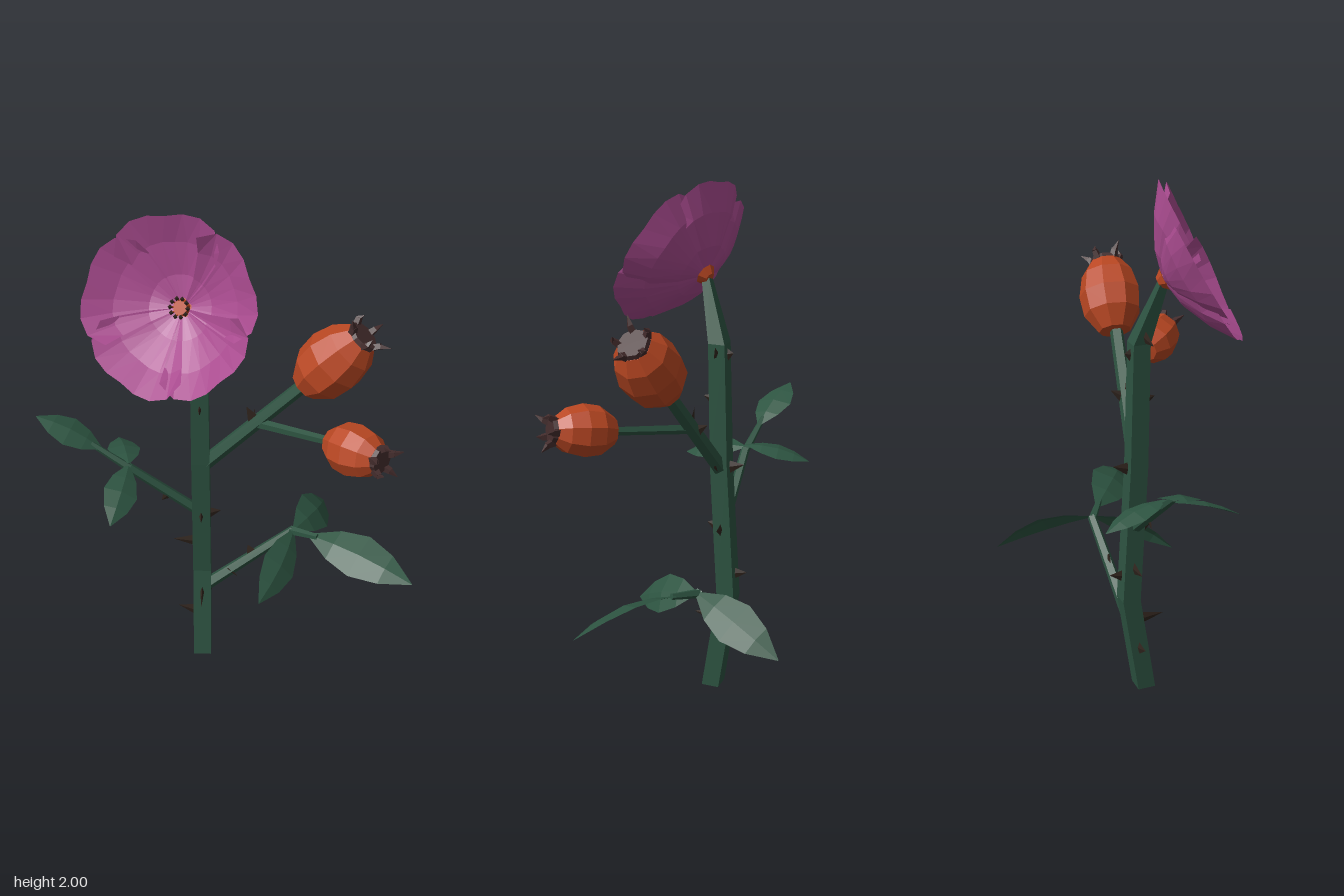
import * as THREE from 'three';

const mat = (name, color, side = THREE.FrontSide) =>
  Object.assign(new THREE.MeshStandardMaterial({ color, flatShading: true, side }), { name });
const V = (p) => new THREE.Vector3(...p);
const UP = new THREE.Vector3(0, 1, 0);

export function createModel() {
  const model = new THREE.Group();
  model.name = 'floweringBranch';
  const green = mat('stemGreen', 0x2d5341);
  const leafGreen = mat('leafGreen', 0x2d5441, THREE.DoubleSide);
  const pink = mat('petalPink', 0xa94b8f, THREE.DoubleSide);
  const orange = mat('hipOrange', 0xb94722);
  const brown = mat('sepalBrown', 0x432c2c);
  const dark = mat('thornBrown', 0x30241d);

  const add = (parent, name, geometry, material) => {
    const mesh = new THREE.Mesh(geometry, material);
    mesh.name = name;
    parent.add(mesh);
    return mesh;
  };

  // Tapered rod between two points; a tiny end radius makes a spike
  const rod = (parent, name, a, b, r0, r1, sides, material) => {
    const from = V(a), dir = V(b).sub(from);
    const g = new THREE.CylinderGeometry(r1, r0, dir.length(), sides);
    const mesh = add(parent, name, g, material);
    mesh.position.copy(from).addScaledVector(dir, 0.5);
    mesh.quaternion.setFromUnitVectors(UP, dir.normalize());
    return mesh;
  };

  // Grid surface from a point rule p(i, j)
  const grid = (rows, cols, p) => {
    const pos = [], index = [];
    for (let i = 0; i <= rows; i++) for (let j = 0; j <= cols; j++) pos.push(...p(i, j));
    for (let i = 0; i < rows; i++) for (let j = 0; j < cols; j++) {
      const a = i * (cols + 1) + j, b = a + cols + 1;
      index.push(a, a + 1, b, a + 1, b + 1, b);
    }
    const g = new THREE.BufferGeometry();
    g.setAttribute('position', new THREE.Float32BufferAttribute(pos, 3));
    g.setIndex(index);
    g.computeVertexNormals();
    return g;
  };

  // Square main stem, bent along its rings: x, y, z, half width
  const rings = [
    [-0.09, 0, 0.012, 0.035], [-0.09, 0.4, -0.05, 0.035], [-0.09, 0.95, -0.02, 0.034],
    [-0.09, 1.42, -0.01, 0.032], [-0.142, 1.65, 0.06, 0.015],
  ];
  const stem = new THREE.CylinderGeometry(Math.SQRT2, Math.SQRT2, 1, 4, rings.length - 1);
  stem.rotateY(Math.PI / 4);
  const sp = stem.attributes.position;
  for (let i = 0; i < sp.count; i++) {
    const [x, y, z, r] = rings[Math.round((sp.getY(i) + 0.5) * (rings.length - 1))];
    sp.setXYZ(i, x + sp.getX(i) * r, y, z + sp.getZ(i) * r);
  }
  add(model, 'mainStem', stem, green);

  // Side branches and stalks
  [
    ['hipBranch', [-0.09, 0.92, -0.02], [0.3, 1.36, 0.052], 0.03, 0.026],
    ['hipStalk', [0.11, 1.15, 0.015], [0.39, 1.21, 0.215], 0.019, 0.016],
    ['lowerLeafBranch', [-0.09, 0.29, -0.045], [0.27, 0.58, -0.065], 0.027, 0.018],
    ['lowerLeafStalk', [0.26, 0.575, -0.065], [0.36, 0.597, 0.0], 0.018, 0.012],
    ['upperLeafBranch', [-0.09, 0.69, -0.03], [-0.36, 0.91, -0.02], 0.022, 0.018],
    ['upperLeafStalk', [-0.35, 0.9, -0.02], [-0.5, 1.0, -0.045], 0.017, 0.011],
  ].forEach(([name, a, b, r0, r1]) => rod(model, name, a, b, r0, r1, 5, green));

  // Leaves: base, tip, half width, arch, facing direction of the upper side
  const profile = [0.08, 0.72, 1, 0.7, 0.02];
  [
    [[0.27, 0.58, -0.06], [0.405, 0.447, -0.42], 0.083, 0.045, [1, 1, 0]],
    [[0.33, 0.59, -0.02], [0.71, 0.555, 0.22], 0.09, 0.045, [-0.15, 1, 0.55]],
    [[0.27, 0.58, -0.06], [0.135, 0.45, 0.225], 0.078, 0.03, [1, 1, 0.93]],
    [[-0.46, 0.98, -0.04], [-0.705, 1.09, -0.09], 0.075, 0.02, [0, 1, 0.1]],
    [[-0.36, 0.93, -0.02], [-0.42, 0.87, -0.265], 0.064, 0.02, [0.1, 1, 0]],
    [[-0.36, 0.92, -0.02], [-0.41, 0.845, 0.25], 0.065, 0.025, [0.4, 1, 0]],
  ].forEach(([a, b, w, arch, facing]) => {
    const dir = V(b).sub(V(a));
    const side = new THREE.Vector3().crossVectors(dir, V(facing)).normalize();
    const normal = new THREE.Vector3().crossVectors(side, dir).normalize();
    add(model, 'leaf', grid(4, 2, (i, j) => {
      const t = i / 4, u = j - 1;
      return V(a).addScaledVector(dir, t).addScaledVector(side, u * w * profile[i])
        .addScaledVector(normal, arch * Math.sin(Math.PI * t) - Math.abs(u) * 0.015 * profile[i])
        .toArray();
    }), leafGreen);
  });

  // Thorns: base and tip, flattened sideways into upright blades
  [
    [[-0.12, 0.19, -0.02], [-0.185, 0.21, -0.02]], [[-0.12, 0.54, -0.04], [-0.2, 0.545, -0.04]],
    [[-0.06, 0.69, -0.03], [-0.015, 0.7, -0.03]], [[-0.06, 0.95, -0.02], [-0.01, 0.96, -0.02]],
    [[-0.06, 1.39, -0.01], [-0.035, 1.375, -0.01]], [[-0.12, 1.45, 0], [-0.2, 1.44, 0]],
    [[-0.09, 0.3, 0.0], [-0.09, 0.305, 0.09]], [[-0.09, 0.5, -0.07], [-0.09, 0.51, -0.125]],
    [[-0.09, 0.94, -0.05], [-0.09, 0.955, -0.11]], [[-0.09, 1.2, 0.01], [-0.09, 1.21, 0.05]],
    [[-0.09, 0.69, 0], [-0.09, 0.7, 0.035]], [[-0.09, 1.38, -0.04], [-0.09, 1.385, -0.065]],
    [[-0.21, 0.79, -0.02], [-0.24, 0.755, -0.02]], [[0.11, 1.16, 0.02], [0.08, 1.22, 0.02]],
    [[0.1, 1.14, 0.01], [0.11, 1.17, -0.04]], [[0.11, 0.46, -0.055], [0.09, 0.5, -0.06]],
    [[-0.07, 0.3, -0.03], [-0.085, 0.27, 0.0]], [[0.02, 0.38, -0.05], [0.05, 0.37, -0.02]],
  ].forEach(([a, b]) => {
    const alongZ = Math.abs(b[2] - a[2]) > Math.abs(b[0] - a[0]);
    rod(model, 'thorn', a, b, 0.026, 0.001, 4, dark).scale[alongZ ? 'x' : 'z'] = 0.3;
  });

  // Rose hips: stalk end, crown end, radius
  [
    [[0.285, 1.335, 0.045], [0.47, 1.553, 0.078], 0.118],
    [[0.375, 1.208, 0.203], [0.53, 1.241, 0.353], 0.094],
  ].forEach(([a, b, r]) => {
    const dir = V(b).sub(V(a)), len = dir.length();
    const hip = new THREE.Group();
    hip.name = 'roseHip';
    hip.position.set(...a);
    hip.quaternion.setFromUnitVectors(UP, dir.normalize());
    model.add(hip);
    const outline = [[0, 0], [0.52, 0.01], [0.92, 0.26], [1, 0.54], [0.84, 0.82], [0.52, 1], [0, 1]];
    add(hip, 'hipBody', new THREE.LatheGeometry(
      outline.map(([x, y]) => new THREE.Vector2(x * r, y * len)), 9), orange);
    rod(hip, 'hipCrown', [0, len - 0.025, 0], [0, len + 0.016, 0], r * 0.58, r * 0.47, 9, brown);
    for (let k = 0; k < 5; k++) {
      const t = k * Math.PI * 0.4 + 0.3, c = Math.cos(t), s = Math.sin(t);
      const q = r * 0.4, m = r * 0.55, e = r * (k % 2 ? 0.5 : 0.8);
      rod(hip, 'sepal', [c * q, len, s * q], [c * m, len + 0.03, s * m], 0.017, 0.012, 4, brown);
      rod(hip, 'sepalTip', [c * m, len + 0.026, s * m], [c * e, len + 0.05, s * e], 0.012, 0.001, 4, brown);
    }
  });

  // Open flower, its local +z facing up, forward and slightly sideways
  const flower = new THREE.Group();
  flower.name = 'flower';
  flower.position.set(-0.14, 1.655, 0.062);
  flower.quaternion.setFromUnitVectors(
    new THREE.Vector3(0, 0, 1), new THREE.Vector3(-0.31, 0.46, 0.83).normalize());
  model.add(flower);

  // Five overlapping notched petals, each cupped, forming a bowl
  const steps = [0.06, 0.35, 0.7, 1];
  for (let k = 0; k < 5; k++) {
    const mid = Math.PI / 2 + k * Math.PI * 0.4;
    add(flower, 'petal', grid(3, 8, (i, j) => {
      const u = j / 4 - 1, s = steps[i], v = Math.abs(u);
      const edge = 1 - 0.07 * Math.pow(1 - v, 2) - 0.22 * Math.pow(v, 4);
      const radius = 0.323 * s * (1 + (edge - 1) * s * s);
      const t = mid + u * 0.8 + 0.12 * s;
      const z = 0.145 * Math.pow(s, 1.3) * (0.8 + 0.2 * edge)
        - 0.07 * (1 - u * u) * s * (1 - s) + 0.012 * u * s;
      return [Math.cos(t) * radius, Math.sin(t) * radius, z];
    }), pink);
  }

  // Flower heart, ring of stamens and receptacle behind
  rod(flower, 'flowerHeart', [0, 0, 0], [0, 0, 0.026], 0.03, 0.025, 10, orange);
  for (let k = 0; k < 10; k++) {
    const t = k * Math.PI / 5, c = Math.cos(t), s = Math.sin(t);
    rod(flower, 'stamen', [c * 0.02, s * 0.02, 0.005], [c * 0.032, s * 0.032, 0.036], 0.003, 0.003, 4, orange);
    const anther = add(flower, 'anther', new THREE.OctahedronGeometry(0.009), dark);
    anther.position.set(c * 0.032, s * 0.032, 0.037);
  }
  rod(flower, 'receptacle', [0, 0, -0.022], [0, 0, 0.003], 0.02, 0.042, 8, orange);

  return model;
}
